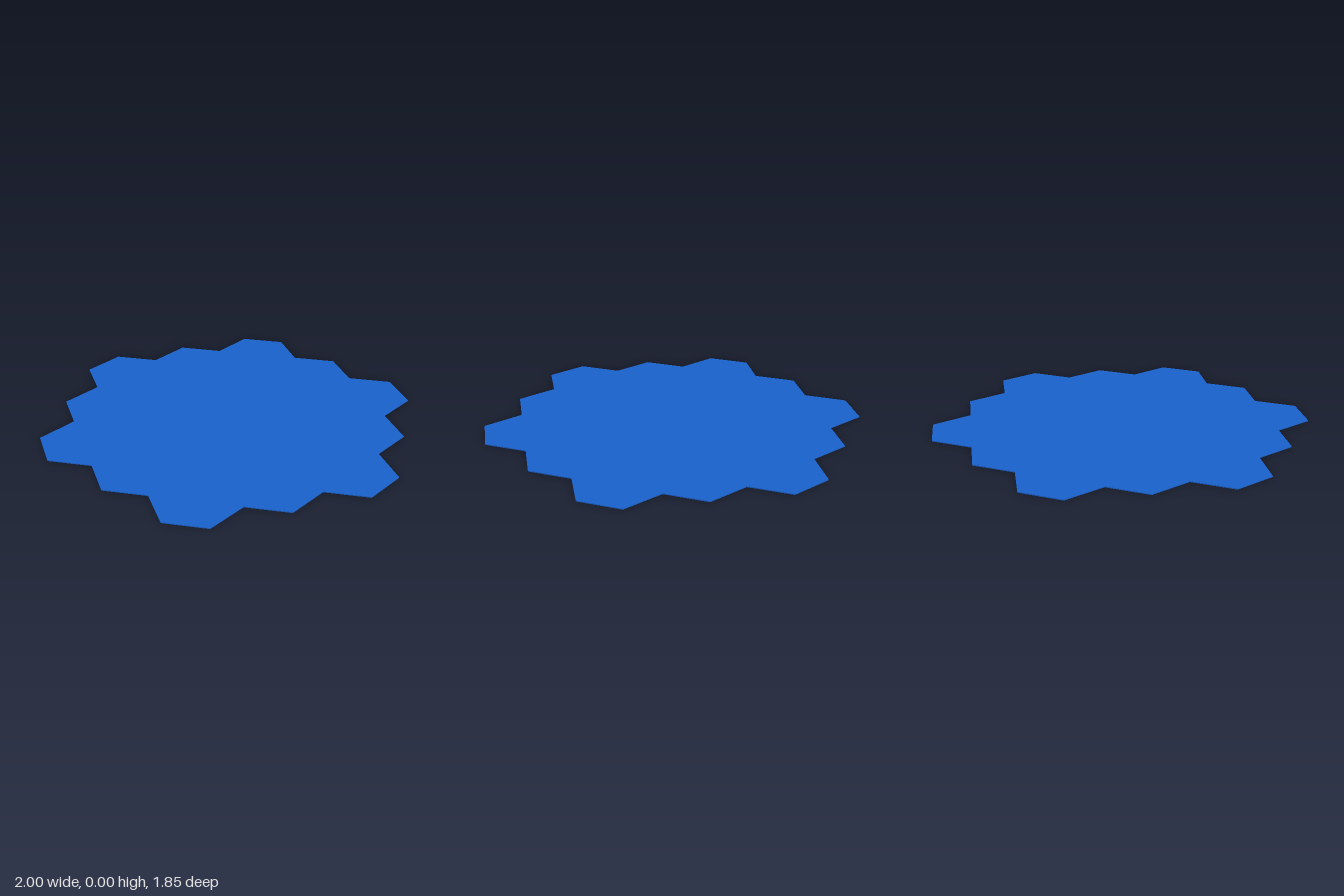
import * as THREE from 'three';

// A thin board of 19 hexagonal tiles in rows of 3, 4, 5, 4, 3.
export function createModel() {
  const board = new THREE.Group();
  board.name = 'hexagonBoard';

  const pitch = 0.4; // width of a tile across its flats
  const radius = pitch / Math.sqrt(3);
  const thickness = 0.005;
  const material = new THREE.MeshStandardMaterial({ color: 0x1a62cc, flatShading: true });

  // Six-sided prism with its points along z
  const tileGeometry = new THREE.CylinderGeometry(radius, radius, thickness, 6);

  for (let row = -2; row <= 2; row++) {
    const count = 5 - Math.abs(row);
    for (let i = 0; i < count; i++) {
      const tile = new THREE.Mesh(tileGeometry, material);
      tile.name = 'hexagonTile';
      tile.position.set((i - (count - 1) / 2) * pitch, thickness / 2, row * radius * 1.5);
      board.add(tile);
    }
  }
  return board;
}
